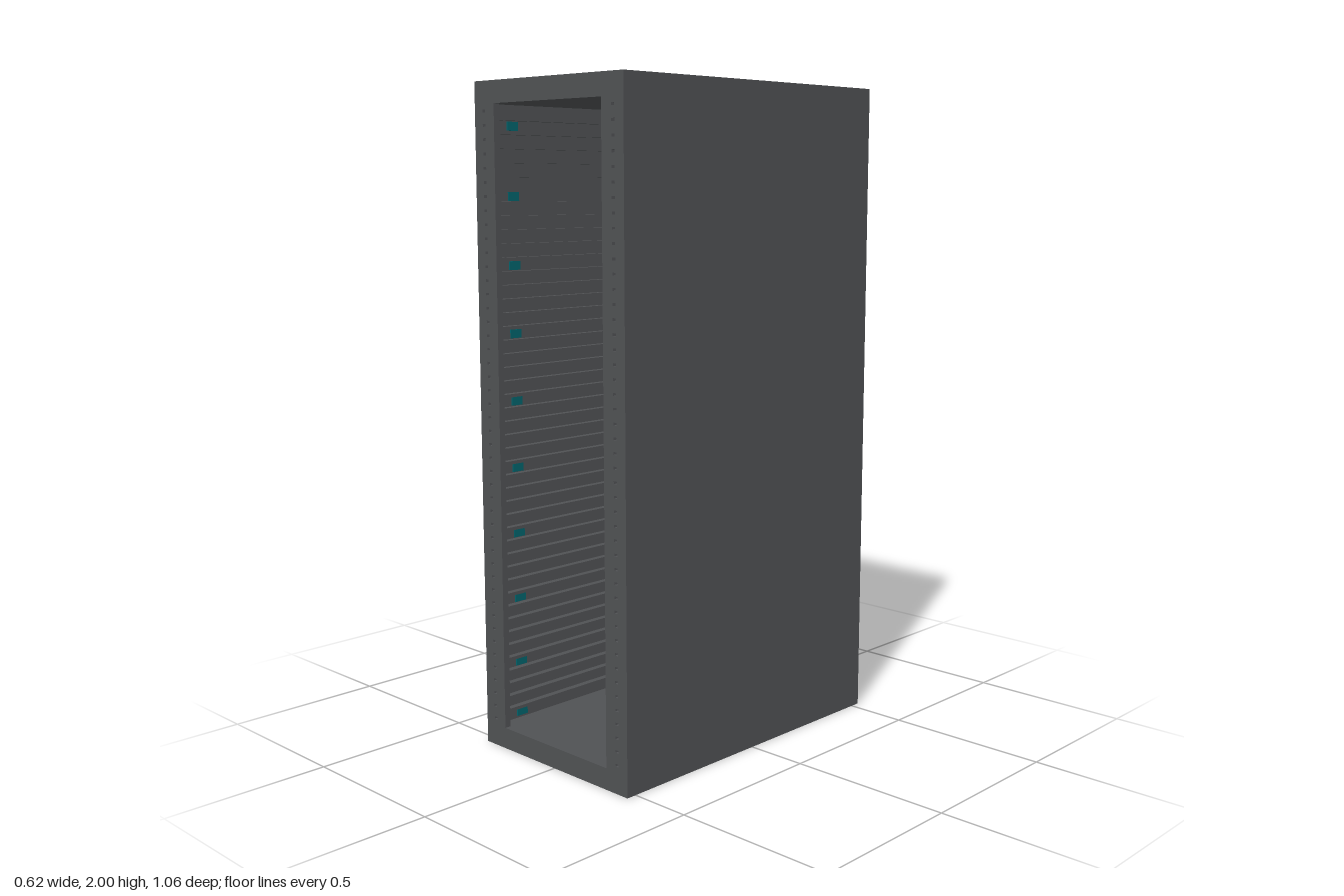
import * as THREE from 'three';

export function createModel() {
  const model = new THREE.Group();
  const steel = new THREE.MeshStandardMaterial({ color: 0x505254 });
  const teal = new THREE.MeshStandardMaterial({ color: 0x00636c });

  const W = 0.622, H = 2, D = 1.064;      // overall size
  const wall = 0.045, slab = 0.065;       // side and top/bottom thickness
  const lip = 0.02, openHalf = 0.225;     // front frame
  const units = 46, pitch = (H - 2 * slab) / units;
  const inner = W / 2 - wall;
  const unitY = i => slab + (i + 0.5) * pitch;

  function box(name, w, h, d, x, y, z, material = steel) {
    const mesh = new THREE.Mesh(new THREE.BoxGeometry(w, h, d), material);
    mesh.name = name;
    mesh.position.set(x, y, z);
    model.add(mesh);
  }

  function rectangle(Type, x0, y0, x1, y1) {
    const p = new Type();
    p.moveTo(x0, y0);
    p.lineTo(x1, y0);
    p.lineTo(x1, y1);
    p.lineTo(x0, y1);
    p.closePath();
    return p;
  }

  // Cabinet shell, open at front and back
  const shellDepth = D - lip;
  const shell = rectangle(THREE.Shape, -W / 2, 0, W / 2, H);
  shell.holes.push(rectangle(THREE.Path, -inner, slab, inner, H - slab));
  const shellMesh = new THREE.Mesh(
    new THREE.ExtrudeGeometry(shell, { depth: shellDepth, bevelEnabled: false }), steel);
  shellMesh.name = 'cabinetShell';
  shellMesh.position.z = -D / 2;
  model.add(shellMesh);

  // Front frame with one mounting hole per unit on each side
  const frame = rectangle(THREE.Shape, -W / 2, 0, W / 2, H);
  frame.holes.push(rectangle(THREE.Path, -openHalf, slab, openHalf, H - slab));
  for (const side of [-1, 1]) {
    for (let i = 0; i < units; i++) {
      const x = side * 0.27, y = unitY(i);
      frame.holes.push(rectangle(THREE.Path, x - 0.006, y - 0.004, x + 0.006, y + 0.004));
    }
  }
  const frameMesh = new THREE.Mesh(
    new THREE.ExtrudeGeometry(frame, { depth: lip, bevelEnabled: false }), steel);
  frameMesh.name = 'frontFrame';
  frameMesh.position.z = D / 2 - lip;
  model.add(frameMesh);

  // Slide rails along both inner walls
  const reach = 0.02;
  for (const side of [-1, 1]) {
    for (let i = 1; i < units; i++) {
      box('slideRail', reach, 0.01, shellDepth,
        side * (inner - reach / 2), slab + i * pitch, -lip / 2);
    }
  }

  // Coloured markers at the first and every fifth unit
  for (let n = 0; n < units; n += 5) {
    const y = unitY(Math.max(n, 1) - 1);
    for (const side of [-1, 1]) {
      box('unitMarker', 0.004, 0.026, 0.04,
        side * (inner - 0.002), y, -side * (D / 2 - 0.1), teal);
    }
  }

  return model;
}
